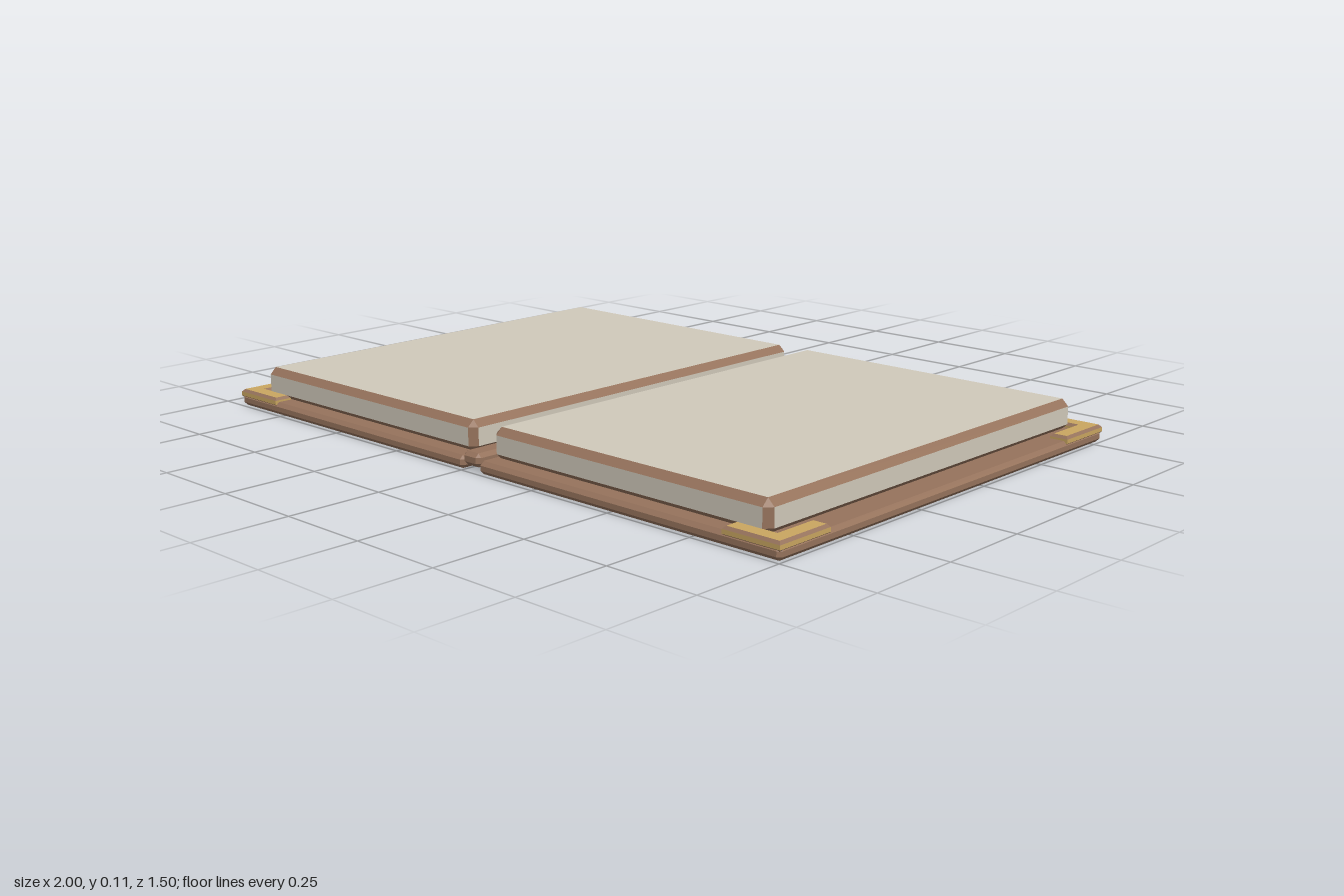
import * as THREE from 'three';
import { ConvexGeometry } from 'three/addons/geometries/ConvexGeometry.js';

const mat = (name, color) => {
  const m = new THREE.MeshStandardMaterial({ color });
  m.name = name;
  return m;
};

// Put axis-aligned triangles in group 0 and bevel triangles in group 1
function splitBevels(source) {
  const geo = source.index ? source.toNonIndexed() : source;
  const p = geo.attributes.position;
  const flats = [], bevels = [];
  const tri = new THREE.Triangle(), n = new THREE.Vector3();
  for (let i = 0; i < p.count; i += 3) {
    tri.setFromAttributeAndIndices(p, i, i + 1, i + 2).getNormal(n);
    const aligned = Math.max(Math.abs(n.x), Math.abs(n.y), Math.abs(n.z)) > 0.99;
    const list = aligned ? flats : bevels;
    for (const v of [tri.a, tri.b, tri.c]) list.push(v.x, v.y, v.z);
  }
  const out = new THREE.BufferGeometry();
  out.setAttribute('position', new THREE.Float32BufferAttribute(flats.concat(bevels), 3));
  out.addGroup(0, flats.length / 3, 0);
  out.addGroup(flats.length / 3, bevels.length / 3, 1);
  out.computeVertexNormals();
  return out;
}

// Box between two corners with every edge chamfered by b
function chamferBox([x0, y0, z0], [x1, y1, z1], b) {
  const points = [];
  for (const [x, sx] of [[x0, 1], [x1, -1]])
    for (const [y, sy] of [[y0, 1], [y1, -1]])
      for (const [z, sz] of [[z0, 1], [z1, -1]]) {
        points.push(new THREE.Vector3(x, y + sy * b, z + sz * b));
        points.push(new THREE.Vector3(x + sx * b, y, z + sz * b));
        points.push(new THREE.Vector3(x + sx * b, y + sy * b, z));
      }
  return splitBevels(new ConvexGeometry(points));
}

// L-shaped corner guard; (x, z) is its outer corner, sx and sz point inward
function cornerGuard(x, z, sx, sz) {
  const b = 0.007, w = 0.05, lx = 0.16, lz = 0.168;
  const pts = [[b, b], [lx - b, b], [lx - b, w - b], [w - b, w - b], [w - b, lz - b], [b, lz - b]];
  // shape y becomes -z once the extrusion is laid flat
  const shape = new THREE.Shape(pts.map(([u, v]) => new THREE.Vector2(x + sx * u, -(z + sz * v))));
  const geo = new THREE.ExtrudeGeometry(shape, {
    depth: 0.011, bevelEnabled: true, bevelSize: b, bevelThickness: b, bevelSegments: 1,
  });
  geo.rotateX(-Math.PI / 2);
  geo.translate(0, 0.02 + b, 0);
  return splitBevels(geo);
}

export function createModel() {
  const leather = mat('brown leather', 0x96735c);
  const paper = mat('cream paper', 0xd0c9ba);
  const brass = mat('brass', 0xc9a660);
  const cloth = mat('dark ribbon', 0x505055);

  const group = new THREE.Group();
  group.name = 'openBook';
  const add = (name, geo, material) => {
    const mesh = new THREE.Mesh(geo, material);
    mesh.name = name;
    group.add(mesh);
  };

  const back = -0.54, front = 0.745;
  const halves = [
    { side: 'right', cover: [-0.935, 0], pages: [-0.872, -0.008], outer: -0.935, inward: 1 },
    { side: 'left', cover: [0.056, 0.998], pages: [0.06, 0.932], outer: 0.998, inward: -1 },
  ];
  for (const { side, cover, pages, outer, inward } of halves) {
    // Cover board
    add(side + 'Cover', chamferBox([cover[0], 0, back], [cover[1], 0.033, front], 0.01), [leather, leather]);
    // Page block with leather-coloured bevels
    add(side + 'Pages', chamferBox([pages[0], 0.027, -0.498], [pages[1], 0.11, 0.703], 0.018), [paper, leather]);
    // Corner guards
    add(side + 'BackCorner', cornerGuard(outer, back, inward, 1), [brass, leather]);
    add(side + 'FrontCorner', cornerGuard(outer, front, inward, -1), [brass, leather]);
  }

  // Spine strip between the covers
  add('spine', chamferBox([-0.002, 0.013, back], [0.058, 0.048, front], 0.01), [leather, leather]);

  // Clasp on the outer edge of the cover
  add('clasp', chamferBox([-1, 0.02, 0.032], [-0.925, 0.045, 0.168], 0.007), [brass, leather]);

  // Ribbon bookmark under the spine
  const ribbon = new THREE.BoxGeometry(0.046, 0.005, 0.3);
  ribbon.translate(0.027, 0.0095, -0.603);
  add('ribbon', ribbon, cloth);

  return group;
}
